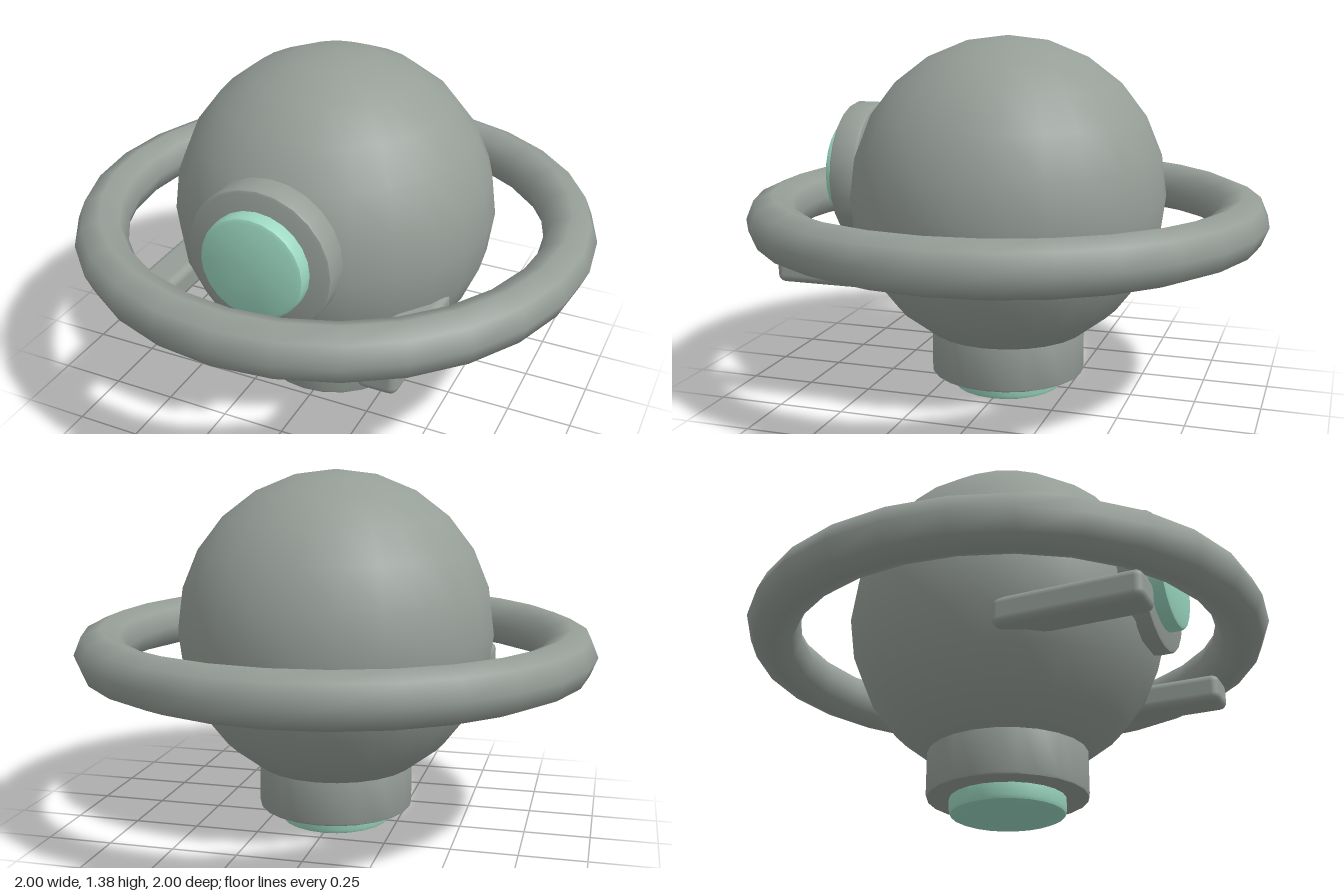
import * as THREE from 'three';
import { toCreasedNormals } from 'three/addons/utils/BufferGeometryUtils.js';
import { RoundedBoxGeometry } from 'three/addons/geometries/RoundedBoxGeometry.js';

export function createModel() {
  const model = new THREE.Group();
  model.name = 'hoveringOrb';

  const grey = new THREE.MeshStandardMaterial({ color: 0x969e98 });
  grey.name = 'hull grey';
  const mint = new THREE.MeshStandardMaterial({ color: 0x9ad6c0 });
  mint.name = 'glowing mint';

  const add = (name, geometry, material, x, y, z) => {
    const mesh = new THREE.Mesh(geometry, material);
    mesh.name = name;
    mesh.position.set(x, y, z);
    model.add(mesh);
    return mesh;
  };

  // Solid disc along +y from 0 to height, with bevelled rims
  const disc = (radius, height, bevel) => {
    const profile = [
      [0, 0], [radius - bevel, 0], [radius - bevel * 0.3, bevel * 0.3], [radius, bevel],
      [radius, height - bevel], [radius - bevel * 0.3, height - bevel * 0.3],
      [radius - bevel, height], [0, height],
    ].map(([r, y]) => new THREE.Vector2(r, y));
    return toCreasedNormals(new THREE.LatheGeometry(profile, 24), 0.6);
  };

  // Body and the ring around it
  add('body', new THREE.SphereGeometry(0.613, 24, 12), grey, 0, 0.773, 0);
  const ring = new THREE.TorusGeometry(0.9, 0.1, 8, 28).rotateX(Math.PI / 2);
  add('ring', ring, grey, 0, 0.705, 0);

  // Front eye: housing with a lens, both facing +z
  add('eyeHousing', disc(0.275, 0.11, 0.012).rotateX(Math.PI / 2), grey, 0, 0.84, 0.523);
  add('eyeLens', disc(0.197, 0.11, 0.018).rotateX(Math.PI / 2), mint, 0, 0.84, 0.58);

  // Thruster below the body
  add('thrusterHousing', disc(0.302, 0.24, 0.01), grey, 0, 0.068, 0);
  add('thrusterGlow', disc(0.217, 0.12, 0.018), mint, 0, 0.005, 0);

  // Forward-pointing arms under the ring
  for (const [side, name] of [[1, 'leftArm'], [-1, 'rightArm']]) {
    add(name, new RoundedBoxGeometry(0.148, 0.11, 0.545, 2, 0.03), grey, side * 0.475, 0.557, 0.448);
  }

  return model;
}
